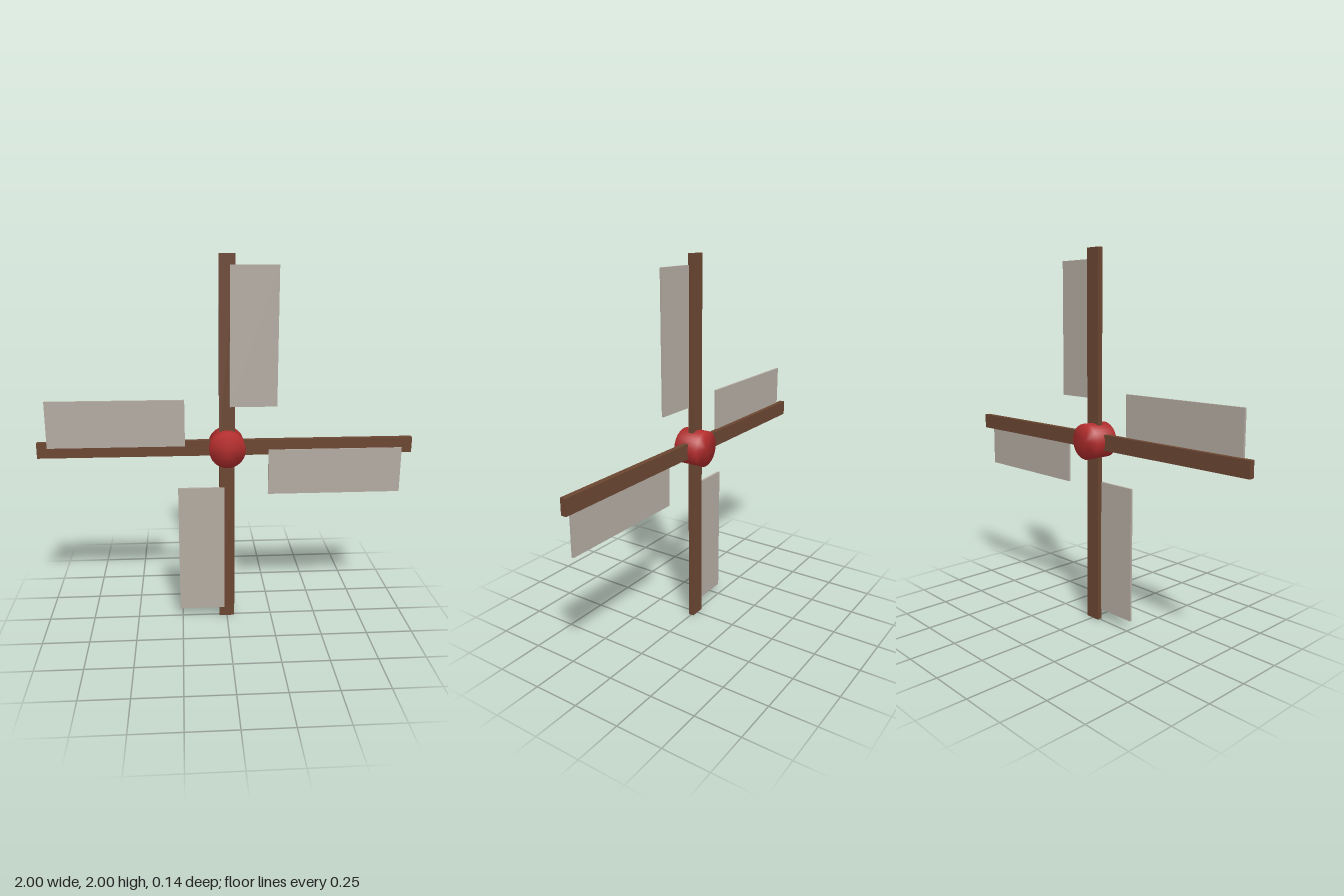
import * as THREE from 'three';
import { mergeVertices } from 'three/addons/utils/BufferGeometryUtils.js';

const wood = new THREE.MeshStandardMaterial({ color: 0x6b4631 });
const cloth = new THREE.MeshStandardMaterial({ color: 0xb3aba1 });
const red = new THREE.MeshStandardMaterial({ color: 0xb32d2d });

function box(name, w, h, d, x, y, z, material) {
  const mesh = new THREE.Mesh(new THREE.BoxGeometry(w, h, d), material);
  mesh.name = name;
  mesh.position.set(x, y, z);
  return mesh;
}

export function createModel() {
  const rotor = new THREE.Group();
  rotor.name = 'windmillRotor';

  // Hub: short drum along z, with normals blended over the rims
  let drum = new THREE.CylinderGeometry(0.096, 0.096, 0.138, 32);
  drum.rotateX(Math.PI / 2);
  drum.deleteAttribute('uv');
  drum.deleteAttribute('normal');
  drum = mergeVertices(drum);
  drum.computeVertexNormals();
  const hub = new THREE.Mesh(drum, red);
  hub.name = 'hub';
  hub.position.y = 1;
  rotor.add(hub);

  // Four blades, each a wooden spar with a sail panel on its clockwise side
  for (let i = 0; i < 4; i++) {
    const blade = new THREE.Group();
    blade.name = 'blade' + (i + 1);
    blade.position.y = 1;
    blade.rotation.z = -i * Math.PI / 2;
    blade.add(
      box('spar', 0.083, 0.96, 0.03, 0, 0.52, 0, wood),
      box('sail', 0.25, 0.722, 0.012, 0.139, 0.584, 0.016, cloth)
    );
    rotor.add(blade);
  }
  return rotor;
}
